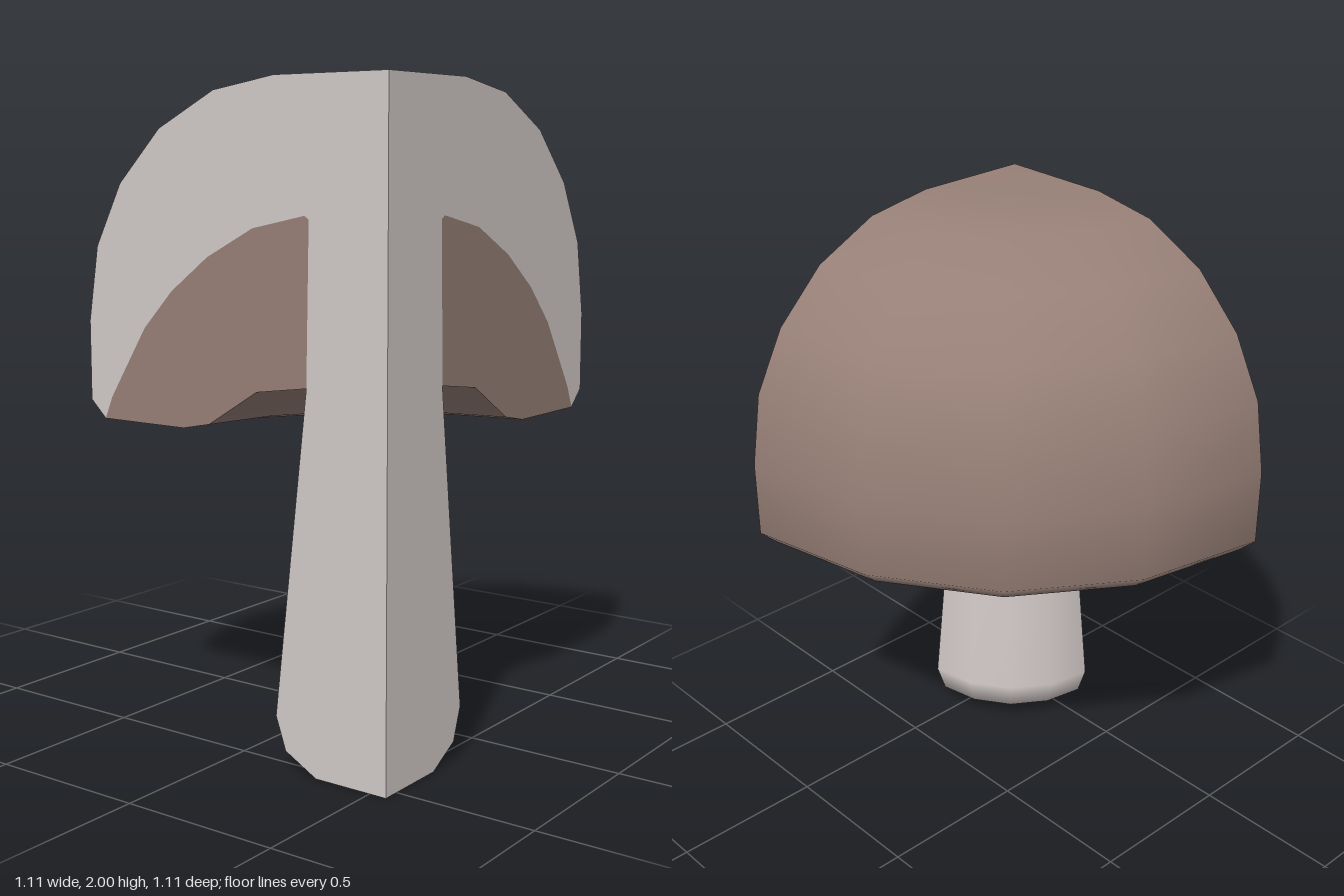
import * as THREE from 'three';

// Profiles as [radius from the stem axis, height]
const stemSide = [[0, 0], [0.245, 0], [0.355, 0.06], [0.39, 0.16], [0.275, 1.135]];
const capUnder = [[0.275, 1.135], [0.455, 1.11], [0.635, 1.0], [0.735, 0.98], [1.055, 0.98]];
const capOuter = [[1.113, 1.035], [1.113, 1.28], [1.075, 1.51], [0.975, 1.7], [0.815, 1.86],
  [0.605, 1.965], [0.385, 2], [0, 2]];
const gillArc = [[0.265, 1.605], [0.28, 1.615], [0.465, 1.577], [0.635, 1.49], [0.775, 1.385],
  [0.885, 1.27], [1.025, 1.05]];

export function createModel() {
  const brown = new THREE.MeshStandardMaterial({ color: 0x967f76 });
  brown.name = 'mushroom brown';
  const pale = new THREE.MeshStandardMaterial({ color: 0xd0c8c6 });
  pale.name = 'pale flesh';

  const group = new THREE.Group();
  group.name = 'mushroomQuarter';
  const add = (name, geometry, material, turn = 0) => {
    const mesh = new THREE.Mesh(geometry, material);
    mesh.name = name;
    mesh.position.set(0.556, 0, 0.553);
    mesh.rotation.y = turn;
    group.add(mesh);
  };

  // Quarter turn of a profile around the corner axis, towards -x and -z
  const quarter = (profile) => new THREE.LatheGeometry(
    profile.map(([r, y]) => new THREE.Vector2(r, y)), 4, Math.PI, Math.PI / 2);
  add('cap', quarter([...capUnder, ...capOuter]), brown);
  add('stem', quarter(stemSide), pale);

  // Flat cut faces: pale flesh around a brown gill section
  const flat = (outline, side) => new THREE.ShapeGeometry(
    new THREE.Shape(outline.map(([r, y]) => new THREE.Vector2(r * side, y))));
  const flesh = [...stemSide, ...gillArc, [1.055, 0.98], ...capOuter];
  const gills = [...capUnder, ...[...gillArc].reverse()];
  for (const [label, side, turn] of [['front', -1, 0], ['left', 1, Math.PI / 2]]) {
    add(label + 'CutFlesh', flat(flesh, side), pale, turn);
    add(label + 'CutGills', flat(gills, side), brown, turn);
  }
  return group;
}
